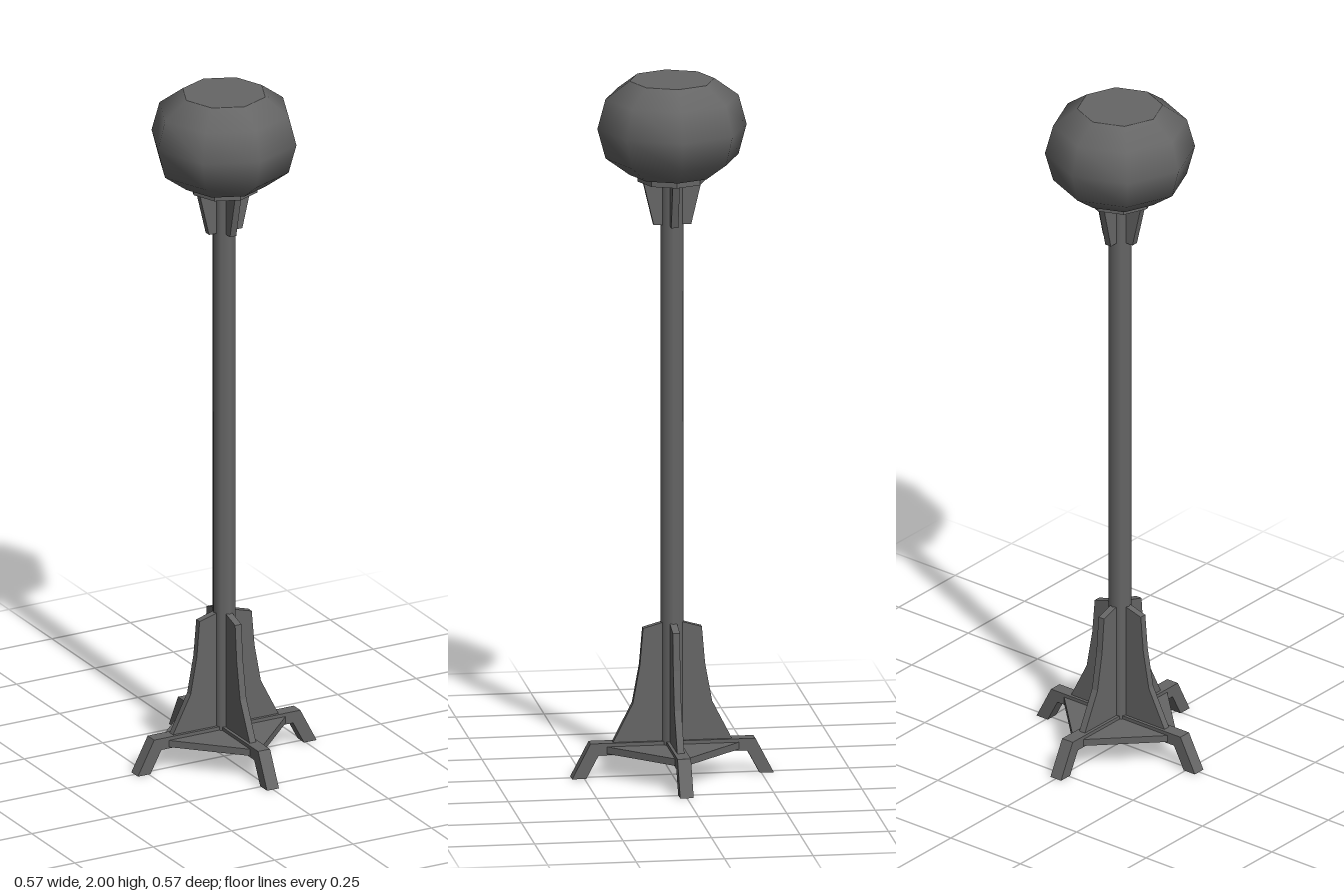
import * as THREE from 'three';

const smooth = new THREE.MeshStandardMaterial({ color: 0x666666 });
const flat = new THREE.MeshStandardMaterial({ color: 0x666666, flatShading: true });

export function createModel() {
  const lamp = new THREE.Group();
  lamp.name = 'streetLamp';

  const add = (name, geometry, material = flat, y = 0) => {
    const mesh = new THREE.Mesh(geometry, material);
    mesh.name = name;
    mesh.position.y = y;
    lamp.add(mesh);
    return mesh;
  };

  // Four copies of a flat radial profile (radius, height), one per axis
  const addRadial = (name, profile, thickness) => {
    const shape = new THREE.Shape(profile.map(([r, y]) => new THREE.Vector2(r, y)));
    const geometry = new THREE.ExtrudeGeometry(shape, { depth: thickness, bevelEnabled: false });
    geometry.translate(0, 0, -thickness / 2);
    for (let i = 0; i < 4; i++) add(name + (i + 1), geometry).rotation.y = (i * Math.PI) / 2;
  };

  // Base: diamond plate, splayed feet and tapering fins
  add('basePlate', new THREE.CylinderGeometry(0.205, 0.205, 0.02, 4), flat, 0.08);
  addRadial('foot', [[0, 0.066], [0.21, 0.066], [0.245, 0], [0.285, 0], [0.233, 0.1], [0, 0.1]], 0.038);
  addRadial('baseFin', [[0, 0.09], [0.168, 0.1], [0.112, 0.21], [0.092, 0.32], [0.083, 0.425], [0.03, 0.44], [0, 0.44]], 0.02);

  // Pole
  add('pole', new THREE.CylinderGeometry(0.033, 0.033, 1.64, 8), smooth, 0.89);

  // Brackets and collar under the globe
  addRadial('headBracket', [[0, 1.585], [0.053, 1.585], [0.083, 1.712], [0, 1.712]], 0.02);
  add('collar', new THREE.CylinderGeometry(0.097, 0.097, 0.021, 8), flat, 1.7205);

  // Eight-sided globe, closed at both ends
  const profile = [[0.12, 1.73], [0.188, 1.78], [0.211, 1.865], [0.188, 1.95], [0.12, 2]];
  add('globe', new THREE.LatheGeometry(profile.map(([r, y]) => new THREE.Vector2(r, y)), 8), smooth);
  const cap = new THREE.CircleGeometry(0.12, 8);
  add('globeTop', cap, flat, 2).rotation.x = -Math.PI / 2;
  add('globeBottom', cap, flat, 1.73).rotation.x = Math.PI / 2;

  return lamp;
}
